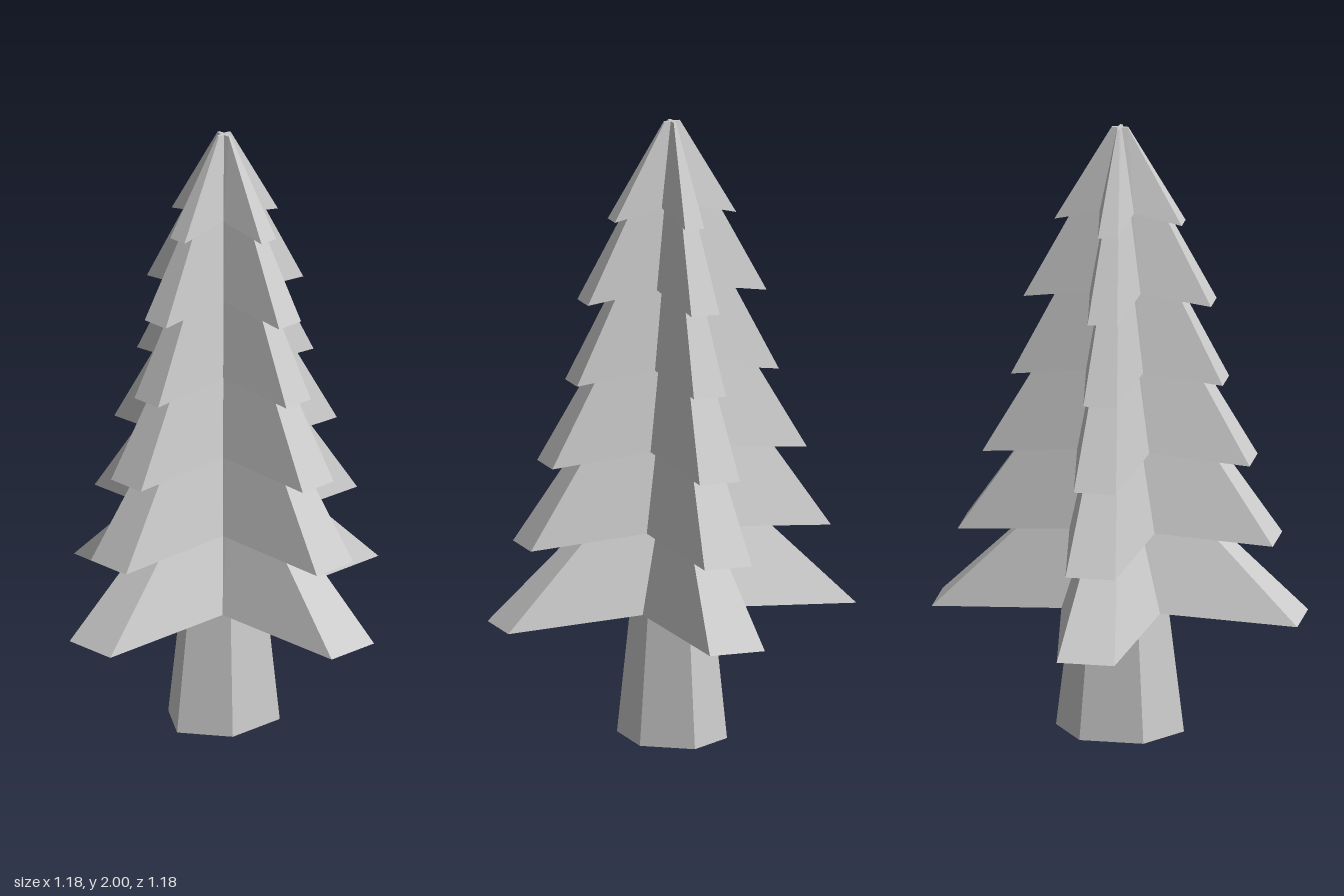
import * as THREE from 'three';

const material = new THREE.MeshStandardMaterial({ color: 0xcccccc, flatShading: true });

// Four-armed star outline, as [x, z] per unit of arm length; every third point is a notch
function starOutline() {
  const arm = [[-0.158, 1], [0.158, 1], [0.27, 0.27]];
  const points = [];
  for (let k = 0; k < 4; k++) {
    const c = Math.round(Math.cos(k * Math.PI / 2));
    const s = Math.round(Math.sin(k * Math.PI / 2));
    for (const [x, z] of arm) points.push([x * c + z * s, -x * s + z * c]);
  }
  return points;
}

// One layer of branches: a star whose notches sit higher than its drooping tips
function branchGeometry(radius, y, topRadius, topY) {
  const star = starOutline();
  const bottom = star.map(([x, z], i) => [x * radius, i % 3 === 2 ? y + 0.04 : y, z * radius]);
  const top = star.map(([x, z]) => [x * topRadius, topY, z * topRadius]);
  const under = [0, y + 0.06, 0];
  const peak = [0, topY, 0];
  const positions = [];
  const tri = (...corners) => corners.forEach((p) => positions.push(...p));
  for (let i = 0; i < star.length; i++) {
    const j = (i + 1) % star.length;
    tri(bottom[i], bottom[j], top[j]);
    tri(bottom[i], top[j], top[i]);
    tri(peak, top[i], top[j]);
    tri(under, bottom[j], bottom[i]);
  }
  const geometry = new THREE.BufferGeometry();
  geometry.setAttribute('position', new THREE.Float32BufferAttribute(positions, 3));
  geometry.computeVertexNormals();
  return geometry;
}

export function createModel() {
  const tree = new THREE.Group();
  tree.name = 'pineTree';

  // Tapered six-sided trunk, slightly narrower from side to side
  const trunk = new THREE.Mesh(new THREE.CylinderGeometry(0.15, 0.206, 0.46, 6), material);
  trunk.name = 'trunk';
  trunk.position.y = 0.23;
  trunk.scale.x = 0.825;
  tree.add(trunk);

  // Branch layers from the ground up: arm length, height where the slopes meet
  const layers = [[0.588, 0.98], [0.507, 1.4], [0.43, 1.66], [0.341, 1.84], [0.302, 2.0], [0.205, 2.045]];
  layers.forEach(([radius, apex], i) => {
    const y = 0.4 + i * 0.2585;
    const topY = Math.min(2, apex - 0.04);
    const topRadius = radius * (apex - topY) / (apex - y);
    const layer = new THREE.Mesh(branchGeometry(radius, y, topRadius, topY), material);
    layer.name = `branchLayer${i + 1}`;
    tree.add(layer);
  });

  return tree;
}
